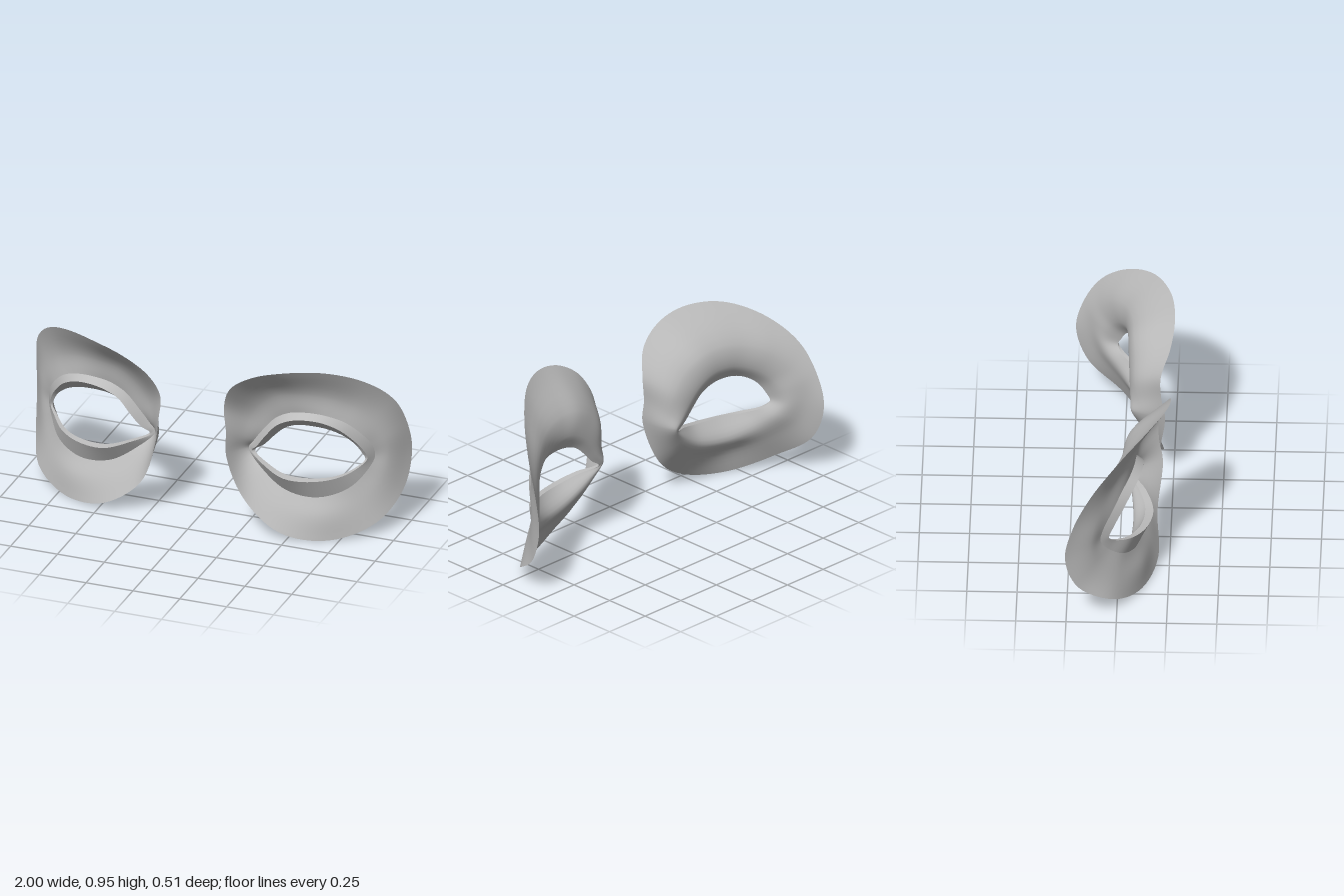
import * as THREE from 'three';

// Control loops of the left eye, each starting at the nose corner and going over the top
const rim = [
  [.19, .42, .21], [.18, .55, .19], [.17, .68, .19], [.22, .81, .235],
  [.34, .9, .255], [.5, .945, .235], [.68, .94, .15], [.84, .86, .01],
  [.95, .72, -.13], [.99, .55, -.22], [1, .38, -.255], [.98, .2, -.19],
  [.9, .075, -.02], [.7, .005, .12], [.47, .04, .195], [.28, .18, .185]];
const groove = [
  [.22, .415, .12], [.235, .5, .11], [.26, .6, .1], [.32, .69, .11],
  [.42, .77, .12], [.55, .79, .11], [.68, .77, .06], [.79, .71, -.01],
  [.87, .62, -.07], [.92, .51, -.115], [.93, .4, -.13], [.91, .29, -.1],
  [.83, .18, .01], [.67, .13, .12], [.47, .15, .155], [.31, .25, .14]];
const crease = [
  [.25, .41, .055], [.28, .46, .06], [.33, .53, .07], [.4, .61, .075],
  [.48, .655, .08], [.57, .67, .08], [.66, .66, .06], [.75, .62, .02],
  [.82, .55, -.025], [.86, .48, -.065], [.87, .41, -.082], [.84, .34, -.045],
  [.77, .265, .03], [.63, .22, .095], [.47, .24, .11], [.34, .32, .09]];
const lidEdge = [
  [.27, .4, .065], [.31, .45, .1], [.36, .52, .12], [.42, .59, .12],
  [.49, .63, .125], [.57, .645, .12], [.66, .635, .1], [.735, .595, .065],
  [.79, .535, .025], [.83, .47, -.015], [.845, .41, -.04], [.81, .37, -.005],
  [.74, .34, .075], [.62, .325, .145], [.48, .33, .17], [.36, .365, .13]];
const opening = [
  [.28, .4, .045], [.33, .44, .045], [.385, .5, .045], [.44, .55, .045],
  [.5, .575, .045], [.57, .583, .045], [.66, .575, .035], [.735, .545, .015],
  [.79, .5, -.005], [.82, .45, -.025], [.833, .405, -.042], [.8, .37, -.02],
  [.73, .34, .05], [.62, .33, .11], [.48, .335, .13], [.37, .365, .1]];
const backRidge = [
  [.255, .41, .04], [.285, .46, .035], [.335, .53, .03], [.4, .6, .025],
  [.48, .645, .02], [.57, .655, .015], [.66, .64, 0], [.75, .6, -.035],
  [.82, .54, -.075], [.855, .475, -.11], [.865, .405, -.12], [.835, .34, -.09],
  [.765, .27, -.015], [.63, .225, .05], [.47, .25, .07], [.34, .325, .06]];
const backSwell = [
  [.215, .415, .1], [.23, .5, .08], [.255, .6, .06], [.32, .69, .06],
  [.42, .75, .05], [.55, .77, .04], [.69, .75, 0], [.81, .7, -.07],
  [.89, .61, -.135], [.93, .51, -.18], [.94, .4, -.185], [.92, .29, -.145],
  [.83, .18, -.02], [.67, .13, .095], [.47, .15, .13], [.31, .25, .11]];

const SEGMENTS = 96;

// Smooth closed loop through control points
function loop(points) {
  const curve = new THREE.CatmullRomCurve3(points.map(p => new THREE.Vector3(...p)), true, 'centripetal');
  return Array.from({ length: SEGMENTS }, (_, i) => curve.getPoint(i / SEGMENTS));
}

// Smooth sheet running through a list of loops
function sheet(loops, steps, side) {
  const positions = [], index = [];
  const ribs = loops[0].map((_, i) => new THREE.CatmullRomCurve3(loops.map(l => l[i]), false, 'centripetal'));
  for (let r = 0; r <= steps; r++) {
    for (const rib of ribs) {
      const p = rib.getPoint(r / steps);
      positions.push(p.x * side, p.y, p.z);
    }
  }
  for (let r = 0; r < steps; r++) {
    for (let i = 0; i < SEGMENTS; i++) {
      const j = (i + 1) % SEGMENTS;
      const p = r * SEGMENTS + i, q = r * SEGMENTS + j;
      const u = p + SEGMENTS, v = q + SEGMENTS;
      if (side > 0) index.push(p, q, u, q, v, u);
      else index.push(p, u, q, q, u, v);
    }
  }
  const geometry = new THREE.BufferGeometry();
  geometry.setAttribute('position', new THREE.Float32BufferAttribute(positions, 3));
  geometry.setIndex(index);
  geometry.computeVertexNormals();
  return geometry;
}

export function createModel() {
  const skin = new THREE.MeshStandardMaterial({ color: 0xbcbcbc, side: THREE.DoubleSide });
  skin.name = 'grey skin';

  const outer = loop(rim), hollow = loop(groove), fold = loop(crease);
  const edge = loop(lidEdge), hole = loop(opening);
  const ridge = loop(backRidge), swell = loop(backSwell);

  const model = new THREE.Group();
  model.name = 'eyeSurrounds';
  for (const side of [1, -1]) {
    const eye = new THREE.Group();
    eye.name = side > 0 ? 'leftEyeSurround' : 'rightEyeSurround';
    const add = (name, loops, steps) => {
      const mesh = new THREE.Mesh(sheet(loops, steps, side), skin);
      mesh.name = name;
      eye.add(mesh);
    };
    add('socket', [outer, hollow, fold], 12);
    add('eyelids', [fold, edge], 3);
    add('lidThickness', [edge, hole], 2);
    // Back of the skin, closing the shell from the opening to the rim
    add('innerSkin', [hole, ridge, swell, outer], 15);
    model.add(eye);
  }
  return model;
}
